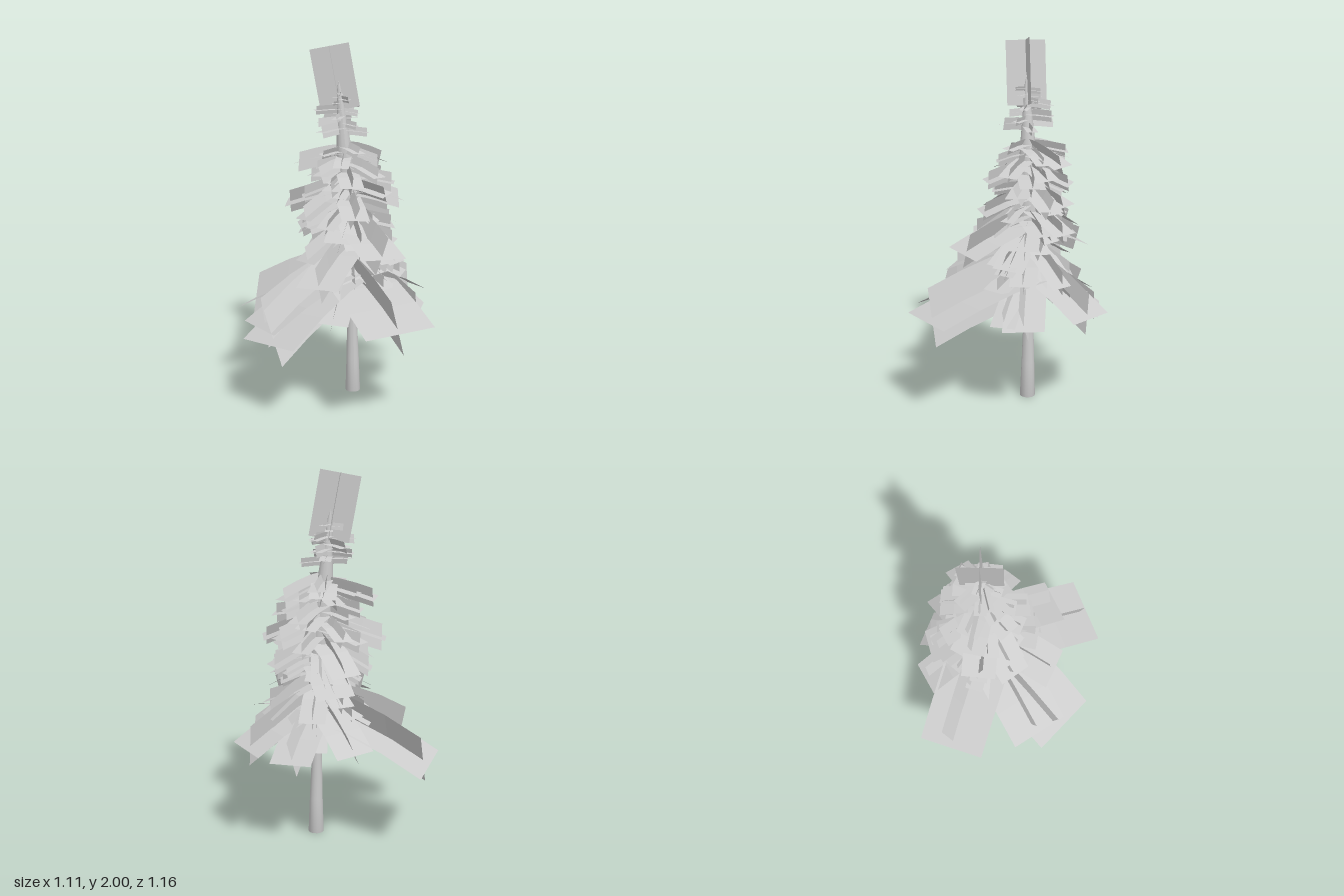
import * as THREE from 'three';

const material = new THREE.MeshStandardMaterial({ color: 0xcccccc, flatShading: true, side: THREE.DoubleSide });
const smooth = new THREE.MeshStandardMaterial({ color: 0xcccccc, side: THREE.DoubleSide });
const UP = new THREE.Vector3(0, 1, 0);

// Seeded random numbers
let seed = 7;
const rand = (a, b) => {
  seed = (seed * 16807) % 2147483647;
  return a + (b - a) * (seed / 2147483647);
};

// Centre of the slightly curved trunk at height y
const spine = (y) => new THREE.Vector3(0.1 - 0.025 * y * y, y, -0.09 - 0.012 * y);

// Round stem from [radius, height] pairs, leaned along the spine
function stem(name, profile) {
  const g = new THREE.LatheGeometry(profile.map(([r, y]) => new THREE.Vector2(r, y)), 14);
  const p = g.attributes.position;
  for (let i = 0; i < p.count; i++) {
    const c = spine(p.getY(i));
    p.setXYZ(i, p.getX(i) + c.x, p.getY(i), p.getZ(i) + c.z);
  }
  g.computeVertexNormals();
  const mesh = new THREE.Mesh(g, smooth);
  mesh.name = name;
  return mesh;
}

// Ribbon along centre points, spread by half the width along one side vector
function ribbon(name, points, side, width) {
  const pos = [], index = [];
  points.forEach((c, i) => {
    for (const s of [-0.5, 0.5]) pos.push(...c.clone().addScaledVector(side, s * width).toArray());
    if (i) {
      const a = 2 * i - 2;
      index.push(a, a + 1, a + 2, a + 1, a + 3, a + 2);
    }
  });
  const g = new THREE.BufferGeometry();
  g.setAttribute('position', new THREE.Float32BufferAttribute(pos, 3));
  g.setIndex(index);
  g.computeVertexNormals();
  const mesh = new THREE.Mesh(g, material);
  mesh.name = name;
  return mesh;
}

// Drooping branch: a flat ribbon crossed by a slightly shorter, tilted upright one
function branch(name, root, tip, width, roll, steps = 3) {
  const group = new THREE.Group();
  group.name = name;
  const curve = (reach) => Array.from({ length: steps + 1 }, (_, i) => {
    const t = (i / steps) * reach;
    const p = root.clone().lerp(tip, t);
    p.y = root.y + (tip.y - root.y) * Math.pow(t, 1.5);
    return p;
  });
  const out = tip.clone().sub(root).setY(0).normalize();
  const across = new THREE.Vector3(-out.z, 0, out.x).applyAxisAngle(out, roll * 0.2);
  const upright = UP.clone().applyAxisAngle(out, roll);
  group.add(ribbon('flatFoliage', curve(1), across, width));
  group.add(ribbon('uprightFoliage', curve(0.94), upright, width * 0.8));
  return group;
}

export function createModel() {
  const tree = new THREE.Group();
  tree.name = 'conifer';
  tree.add(stem('trunk', [[0, 0], [0.043, 0], [0.036, 0.2], [0.028, 0.45], [0.023, 0.75]]));
  tree.add(stem('foliageCore', [[0.023, 0.74], [0.06, 0.86], [0.064, 1.0], [0.055, 1.2], [0.045, 1.4], [0.03, 1.55], [0.012, 1.75], [0, 1.8]]));

  // Prominent branches: tip x, y, z, width, root height, roll
  const main = [
    [-0.455, 0.48, -0.42, 0.38, 0.73, 0.4],
    [0.50, 0.57, -0.27, 0.28, 0.76, -0.1],
    [0.445, 0.53, 0.095, 0.22, 0.78, 0.3],
    [0.20, 0.57, 0.54, 0.39, 0.72, 0.25],
    [-0.445, 0.46, 0.265, 0.39, 0.73, 0.45],
    [-0.47, 0.50, 0.11, 0.34, 0.75, 0.3],
    [-0.04, 0.58, -0.49, 0.21, 0.77, 0.4],
    [0.29, 0.53, -0.43, 0.23, 0.75, 0.3],
    [0.37, 0.54, 0.18, 0.14, 0.76, 0.2],
    [-0.10, 0.54, 0.26, 0.18, 0.76, -0.2],
    [0.17, 0.90, 0.32, 0.26, 1.02, -0.35],
    [0.05, 0.87, -0.43, 0.20, 0.98, 0.4],
    [-0.18, 0.74, 0.25, 0.24, 0.88, 0.2],
    [0.30, 0.82, 0.12, 0.17, 0.95, -0.35],
    [0.38, 1.13, -0.09, 0.14, 1.22, -0.4],
    [-0.26, 1.12, -0.20, 0.18, 1.20, -0.35],
    [-0.20, 1.34, -0.22, 0.14, 1.40, 0.35],
    [0.10, 1.36, -0.32, 0.14, 1.42, -0.3],
    [0.29, 1.34, -0.20, 0.14, 1.42, 0.35],
  ];
  main.forEach(([x, y, z, w, h, roll]) =>
    tree.add(branch('mainBranch', spine(h), new THREE.Vector3(x, y, z), w, roll)));

  // Spiralling branches that shorten toward the top
  function whorl(name, count, y0, y1, len0, len1, droop, proportion) {
    for (let i = 0; i < count; i++) {
      const t = i / (count - 1);
      const angle = i * 2.39996 + rand(-0.4, 0.4);
      const length = (len0 + (len1 - len0) * t) * rand(0.65, 1.05);
      const root = spine(y0 + (y1 - y0) * t);
      const tip = root.clone().add(new THREE.Vector3(
        Math.cos(angle) * length, -length * droop * rand(0.5, 1.4), Math.sin(angle) * length));
      tree.add(branch(name, root, tip, length * rand(0.8, 1.2) * proportion, rand(-0.45, 0.45), 2));
    }
  }
  whorl('skirtBranch', 18, 0.74, 0.94, 0.32, 0.30, 0.55, 0.5);
  whorl('middleBranch', 23, 0.95, 1.19, 0.30, 0.28, 0.35, 0.52);
  whorl('upperBranch', 25, 1.2, 1.44, 0.28, 0.21, 0.24, 0.52);
  whorl('crownBranch', 11, 1.53, 1.66, 0.16, 0.14, 0.08, 0.5);
  whorl('tipBranch', 7, 1.67, 1.73, 0.10, 0.08, 0.05, 0.5);

  // Crossed upright cards at the top
  const crown = new THREE.Group();
  crown.name = 'topShoot';
  const ends = [new THREE.Vector3(0.03, 1.64, -0.11), new THREE.Vector3(-0.03, 1.98, -0.125)];
  const axis = ends[1].clone().sub(ends[0]).normalize();
  const deep = new THREE.Vector3(-0.22, 0, 0.97).cross(axis).cross(axis).normalize();
  const wide = deep.clone().cross(axis).normalize();
  for (const side of [wide, deep]) crown.add(ribbon('topFoliage', ends, side, 0.215));
  tree.add(crown);
  return tree;
}
